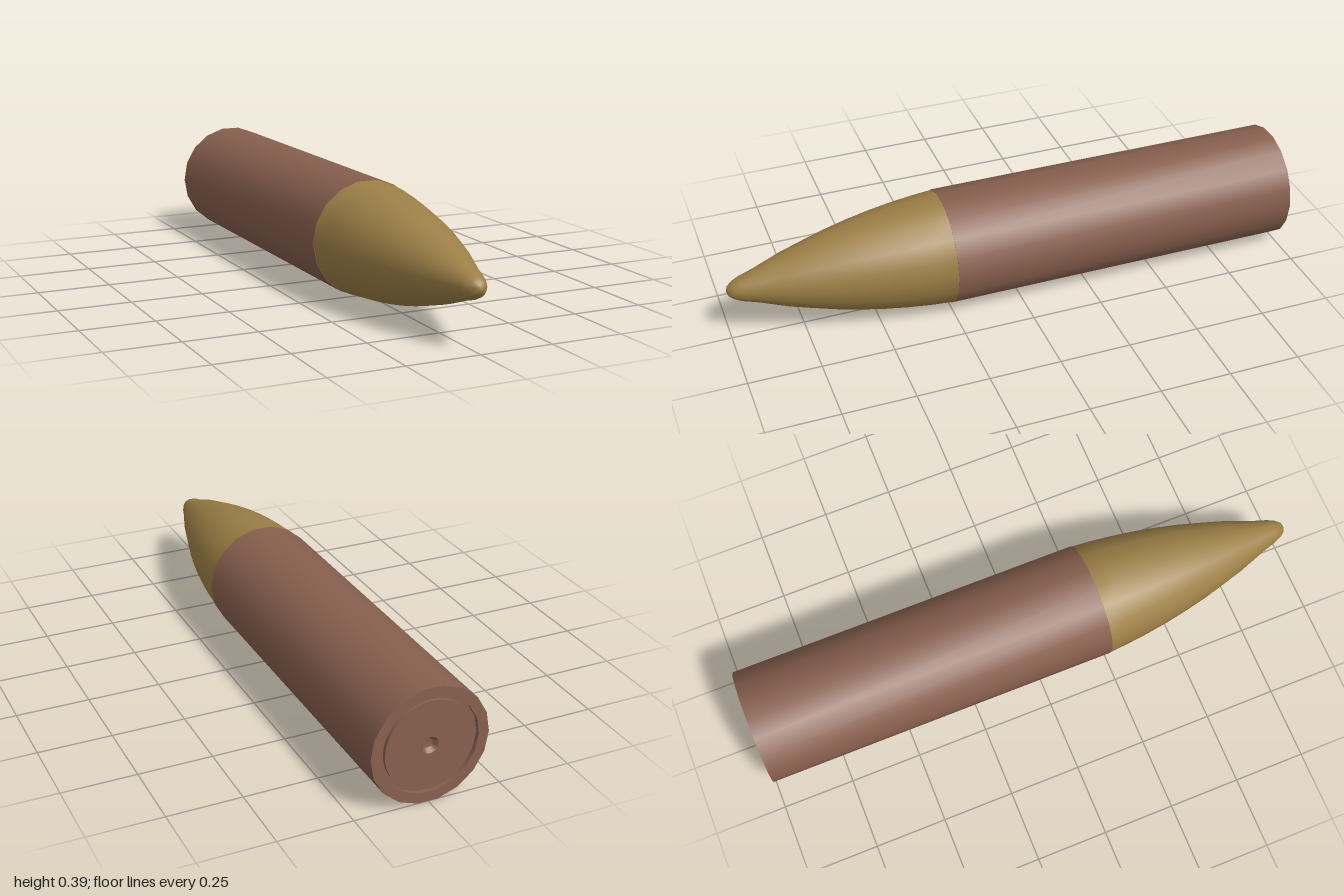
import * as THREE from 'three';
import { toCreasedNormals } from 'three/addons/utils/BufferGeometryUtils.js';

const SIDES = 18;
const RADIUS = 0.2;

// Turned part along z from [radius, z] pairs, listed back to front on the outside
function turned(name, profile, material, sides = SIDES) {
  const points = profile.map(([r, z]) => new THREE.Vector2(r, z));
  const lathe = new THREE.LatheGeometry(points, sides, Math.PI / 2);
  lathe.rotateX(Math.PI / 2);
  const mesh = new THREE.Mesh(toCreasedNormals(lathe, 0.6), material);
  mesh.name = name;
  mesh.position.y = RADIUS;
  return mesh;
}

export function createModel() {
  const copperBrown = new THREE.MeshStandardMaterial({ color: 0x875f4e });
  copperBrown.name = 'copper brown';
  const brass = new THREE.MeshStandardMaterial({ color: 0x9c7f46 });
  brass.name = 'brass';

  const group = new THREE.Group();
  group.name = 'cartridge';

  // Straight case with its rear rim
  group.add(turned('case', [
    [0.165, -0.985], [0.165, -1], [RADIUS, -1], [RADIUS, 0.25], [0.188, 0.25],
  ], copperBrown));

  // Recessed base: narrow groove, flat disc and central dimple
  group.add(turned('base', [
    [0, -0.98], [0.016, -0.983], [0.028, -0.998], [0.152, -0.998],
    [0.152, -0.985], [0.166, -0.985],
  ], copperBrown, 36));

  // Curved nose ending in a small blunt tip
  group.add(turned('nose', [
    [0.199, 0.245], [0.193, 0.32], [0.184, 0.4], [0.172, 0.48], [0.157, 0.56],
    [0.139, 0.64], [0.117, 0.72], [0.094, 0.8], [0.058, 0.9],
    [0.043, 0.95], [0.032, 0.975], [0.018, 0.993], [0, 1],
  ], brass));

  return group;
}
